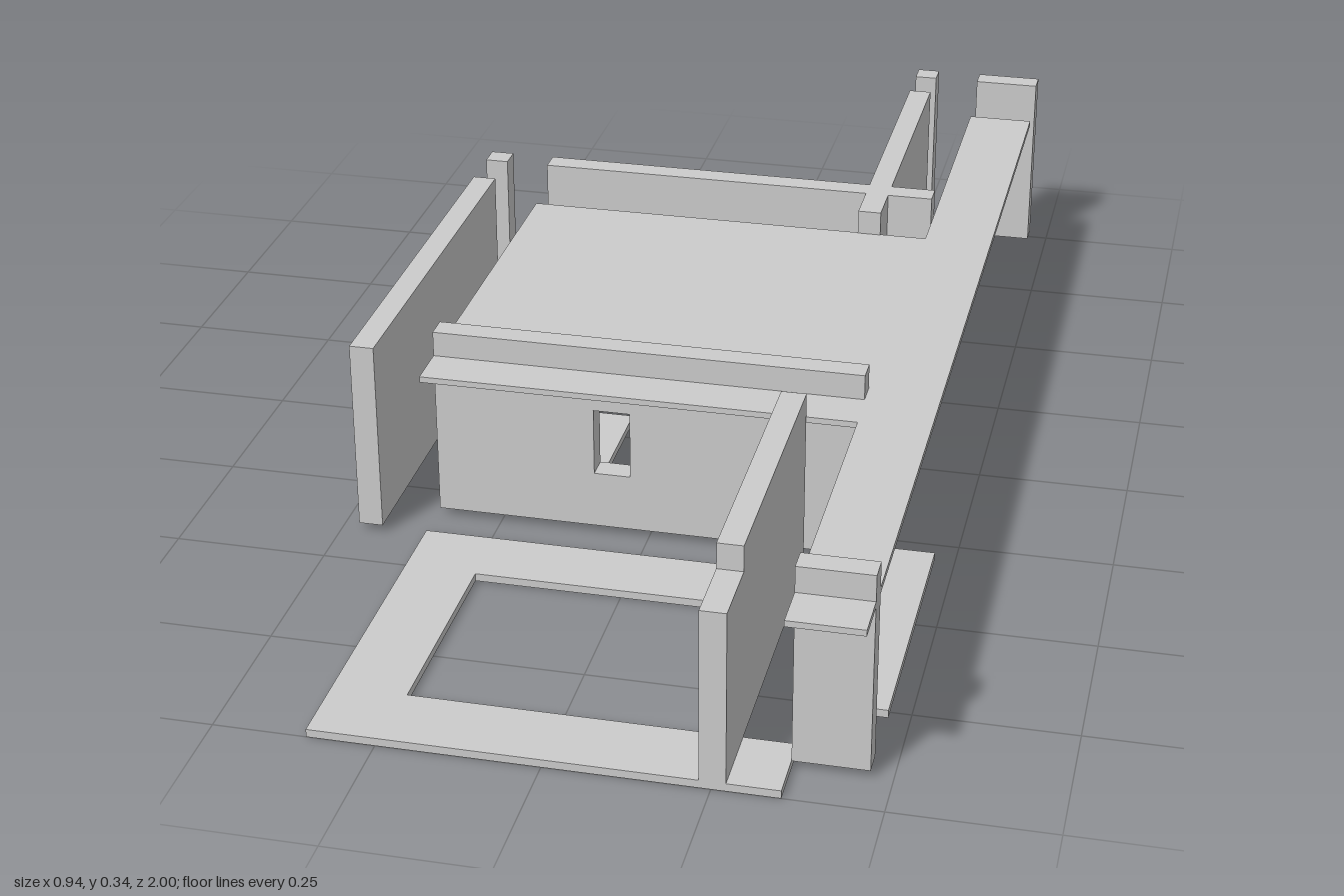
import * as THREE from 'three';

const FLOOR = 0.013, CEIL_LOW = 0.285, CEIL_TOP = 0.295, TOP = 0.337;

export function createModel() {
  const model = new THREE.Group();
  model.name = 'floorPlanModel';
  const material = new THREE.MeshStandardMaterial({ color: 0xcccccc, flatShading: true });

  // Box given by its limits on each axis
  function block(name, [x0, x1], [z0, z1], y0 = FLOOR, y1 = TOP) {
    const mesh = new THREE.Mesh(new THREE.BoxGeometry(x1 - x0, y1 - y0, z1 - z0), material);
    mesh.position.set((x0 + x1) / 2, (y0 + y1) / 2, (z0 + z1) / 2);
    mesh.name = name;
    model.add(mesh);
  }

  function polygon(points, Type = THREE.Shape) {
    return new Type(points.map(([x, y]) => new THREE.Vector2(x, y)));
  }

  function extrude(name, shape, depth) {
    const geometry = new THREE.ExtrudeGeometry(shape, { depth, bevelEnabled: false });
    const mesh = new THREE.Mesh(geometry, material);
    mesh.name = name;
    model.add(mesh);
    return mesh;
  }

  // Cross walls with a window opening
  function windowWall(name, z) {
    const shape = polygon([[-0.355, FLOOR], [0.35, FLOOR], [0.35, TOP], [-0.355, TOP]]);
    shape.holes.push(polygon([[-0.09, 0.11], [-0.09, 0.225], [-0.03, 0.225], [-0.03, 0.11]], THREE.Path));
    extrude(name, shape, 0.04).position.z = z;
  }
  windowWall('frontWindowWall', 0.29);
  windowWall('backWindowWall', -0.415);

  // Inner side walls, the front one stepped down at its end
  const inner = [0.232, 0.272];
  block('backInnerWall', inner, [-0.885, -0.295]);
  const stepped = polygon([[-1, FLOOR], [-0.41, FLOOR], [-0.41, TOP], [-0.885, TOP], [-0.885, CEIL_TOP], [-1, CEIL_TOP]]);
  const frontInner = extrude('frontInnerWall', stepped, 0.04);
  frontInner.rotation.y = Math.PI / 2;
  frontInner.position.x = inner[0];

  // Long outer wall with its end piers
  block('longOuterWall', [0.352, 0.39], [-0.882, 0.885], FLOOR, CEIL_LOW);
  block('frontPier', [0.352, 0.467], [0.885, 0.924]);
  block('backPier', [0.352, 0.467], [-1, -0.96]);
  block('backPost', inner, [-1, -0.96]);

  // Far side wall and corner post
  block('rightOuterWall', [-0.47, -0.43], [-0.295, 0.407]);
  block('rightCornerPost', [-0.47, -0.43], [-0.415, -0.375]);

  // Ceiling slabs
  block('roomCeiling', [-0.355, 0.352], [-0.297, 0.407], CEIL_LOW, CEIL_TOP);
  block('longCeilingStrip', [0.352, 0.467], [-0.882, 1], CEIL_LOW, CEIL_TOP);

  // Floor border around the open front bay, in plan (x, -z)
  const border = polygon([
    [-0.355, -1], [0.352, -1], [0.352, -0.88], [-0.238, -0.88],
    [-0.238, -0.522], [0.235, -0.522], [0.235, -0.407], [-0.355, -0.407],
  ]);
  extrude('frontFloorBorder', border, FLOOR).rotation.x = -Math.PI / 2;

  // Separate floor pads
  block('sideFloorPad', [0.352, 0.467], [0.297, 0.765], 0, FLOOR);
  block('roomFloorPad', [-0.355, -0.12], [-0.056, 0.178], 0, FLOOR);

  return model;
}
